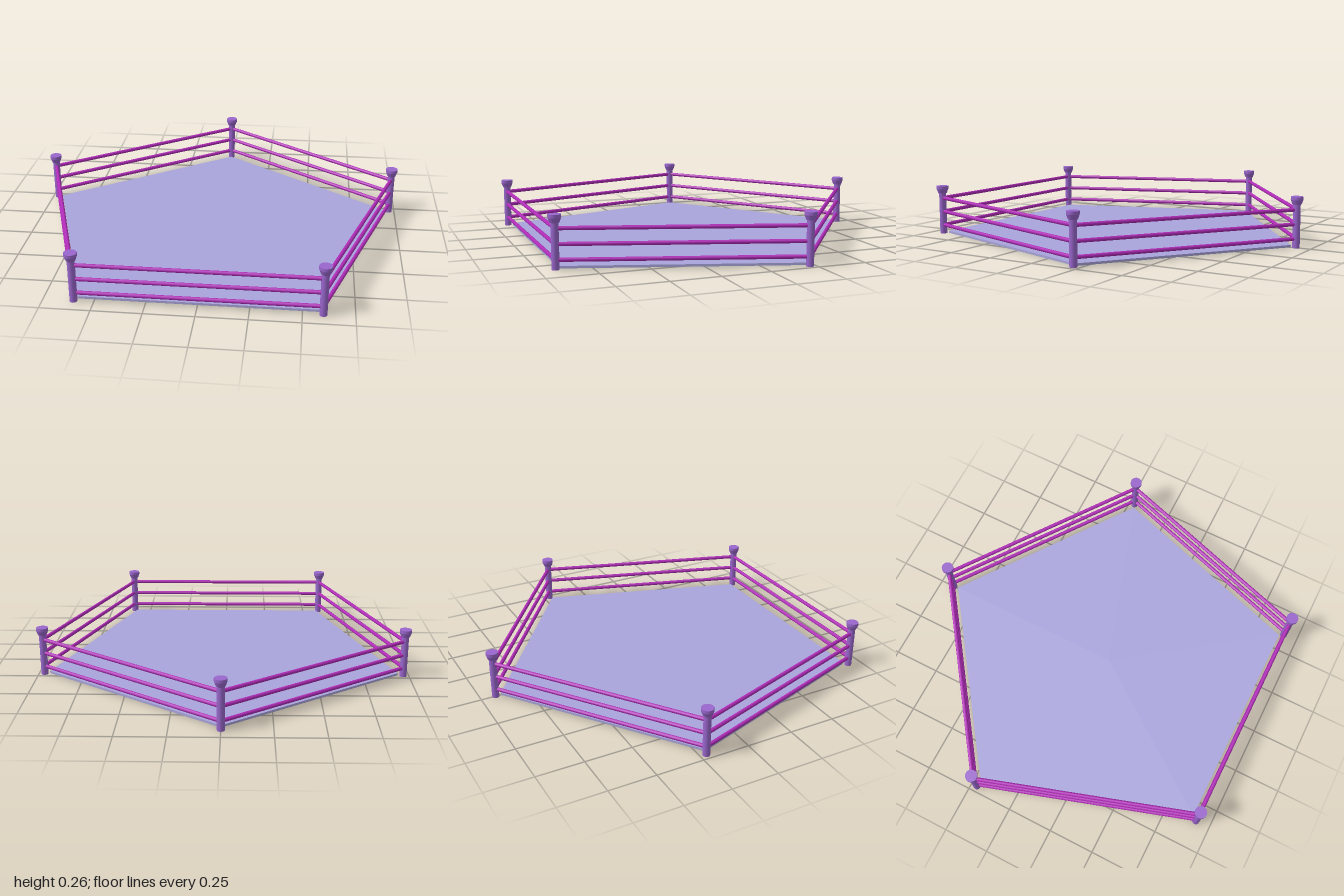
import * as THREE from 'three';

const SIDES = 5;
const RADIUS = 1.018;    // post centres
const CENTRE_Z = 0.097;  // pentagon centre, so the bounds are centred on z = 0

// Corner i of the pentagon, the first one pointing to the back
function corner(i, r, y = 0) {
  const a = Math.PI + (i * 2 * Math.PI) / SIDES;
  return new THREE.Vector3(Math.sin(a) * r, y, CENTRE_Z + Math.cos(a) * r);
}

export function createModel() {
  const group = new THREE.Group();
  const postMat = new THREE.MeshStandardMaterial({ color: 0x9966cc });
  const railMat = new THREE.MeshStandardMaterial({ color: 0xb02cb8 });
  const floorMat = new THREE.MeshStandardMaterial({ color: 0xaaa5dc, flatShading: true });

  function add(parent, name, geometry, material) {
    const mesh = new THREE.Mesh(geometry, material);
    mesh.name = name;
    parent.add(mesh);
    return mesh;
  }

  // Thin five-sided floor, set just inside the fence
  const floor = add(group, 'floor', new THREE.CylinderGeometry(0.99, 0.99, 0.012, SIDES, 1, false, Math.PI), floorMat);
  floor.position.set(0, 0.006, CENTRE_Z);

  const shaftGeo = new THREE.CylinderGeometry(0.019, 0.019, 0.235, 20);
  const taperGeo = new THREE.CylinderGeometry(0.032, 0.023, 0.024, 24);
  const rimGeo = new THREE.CylinderGeometry(0.032, 0.032, 0.016, 24);
  const railLength = corner(0, RADIUS).distanceTo(corner(1, RADIUS));
  const railGeo = new THREE.CylinderGeometry(0.01, 0.01, railLength, 12);
  const up = new THREE.Vector3(0, 1, 0);

  for (let i = 0; i < SIDES; i++) {
    // Corner post with a flared cap
    const post = new THREE.Group();
    post.name = 'post' + (i + 1);
    post.position.copy(corner(i, RADIUS));
    add(post, 'postShaft', shaftGeo, postMat).position.y = 0.1175;
    add(post, 'capTaper', taperGeo, postMat).position.y = 0.236;
    add(post, 'capRim', rimGeo, postMat).position.y = 0.256;
    group.add(post);

    // Three rails to the next post
    const side = new THREE.Group();
    side.name = 'rails' + (i + 1);
    for (const y of [0.047, 0.122, 0.197]) {
      const a = corner(i, RADIUS, y);
      const b = corner(i + 1, RADIUS, y);
      const rail = add(side, 'rail', railGeo, railMat);
      rail.position.copy(a).add(b).multiplyScalar(0.5);
      rail.quaternion.setFromUnitVectors(up, b.sub(a).normalize());
    }
    group.add(side);
  }
  return group;
}
